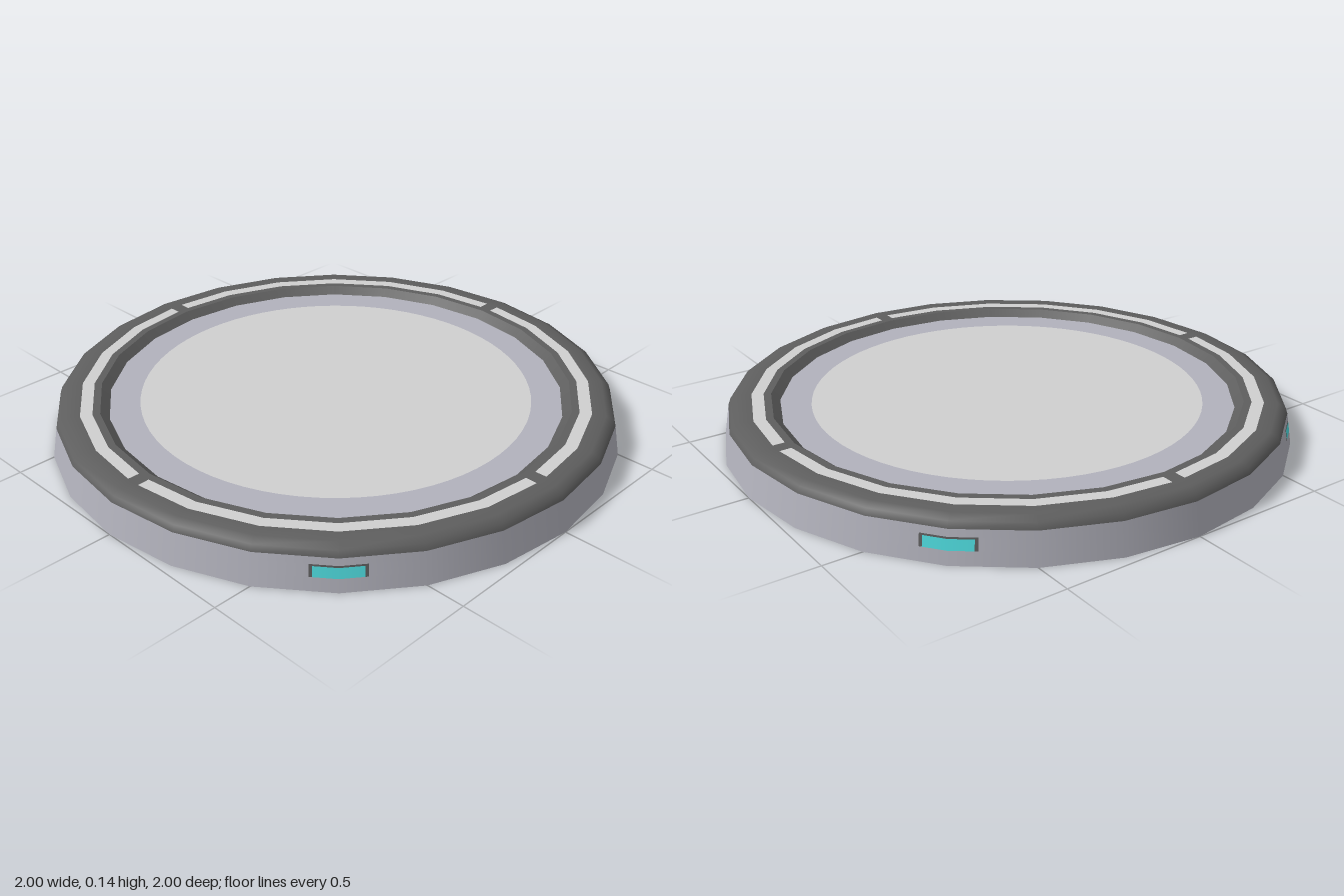
import * as THREE from 'three';

const mat = (name, color) => {
  const m = new THREE.MeshStandardMaterial({ color, side: THREE.DoubleSide });
  m.name = name;
  return m;
};

const STEP = 15; // degrees per side: 24 sides, corners on the axes
const rad = THREE.MathUtils.degToRad;

// Factor that keeps a point at angle a on the flat sides of the 24-gon
const onSide = (a) => {
  const off = ((a % STEP) + STEP) % STEP - STEP / 2;
  return Math.cos(rad(STEP / 2)) / Math.cos(rad(off));
};

// Sweep a [radius, height] profile from angle a0 to a1, smooth around the axis
function sweep(profile, a0 = 0, a1 = 360) {
  const angles = [a0];
  for (let a = Math.floor(a0 / STEP + 1) * STEP; a < a1; a += STEP) angles.push(a);
  angles.push(a1);

  const normals2 = profile.map((p, j) => {
    const n = new THREE.Vector2();
    for (const k of [j - 1, j]) {
      const u = profile[k], v = profile[k + 1];
      if (u && v) n.add(new THREE.Vector2(v[1] - u[1], u[0] - v[0]).normalize());
    }
    return n.normalize();
  });

  const pos = [], nor = [], index = [], n = profile.length;
  angles.forEach((a, i) => {
    const s = Math.sin(rad(a)), c = Math.cos(rad(a)), k = onSide(a);
    profile.forEach(([r, y], j) => {
      pos.push(r * k * s, y, r * k * c);
      nor.push(normals2[j].x * s, normals2[j].y, normals2[j].x * c);
      if (i && j) {
        const p = (i - 1) * n + j - 1, q = i * n + j - 1;
        index.push(p, q, q + 1, p, q + 1, p + 1);
      }
    });
  });
  const g = new THREE.BufferGeometry();
  g.setAttribute('position', new THREE.Float32BufferAttribute(pos, 3));
  g.setAttribute('normal', new THREE.Float32BufferAttribute(nor, 3));
  g.setIndex(index);
  return g;
}

export function createModel() {
  const silver = mat('silver', 0xb2b2bc);
  const dark = mat('darkGrey', 0x5e5e5e);
  const light = mat('lightGrey', 0xd0d0d0);
  const cyan = mat('cyan', 0x4fdde0);

  const model = new THREE.Group();
  model.name = 'roundPad';
  const add = (name, geometry, material) => {
    const mesh = new THREE.Mesh(geometry, material);
    mesh.name = name;
    model.add(mesh);
    return mesh;
  };

  // Sloping outer wall, left open in a band where the lamps sit
  const wall = (y) => [1 - 0.02 * y / 0.11, y];
  const band = (y0, y1) => [wall(y0), wall(y1)];
  add('lowerWall', sweep(band(0, 0.045)), silver);
  add('upperWall', sweep(band(0.086, 0.11)), silver);

  // Four lamps on the diagonals, each with a thin dark edge
  const lamp = 4.5, edge = 5.1;
  for (let a = 45; a < 360; a += 90) {
    add('middleWall', sweep(band(0.045, 0.086), a + edge, a + 90 - edge), silver);
    add('lamp', sweep(band(0.045, 0.08), a - lamp, a + lamp), cyan);
    add('lampTopEdge', sweep(band(0.08, 0.086), a - lamp, a + lamp), dark);
    add('lampSideEdge', sweep(band(0.045, 0.086), a - edge, a - lamp), dark);
    add('lampSideEdge', sweep(band(0.045, 0.086), a + lamp, a + edge), dark);
  }

  // Dark rim: rounded shoulder, flat top and inner slope
  add('rimShoulder', sweep([[0.98, 0.11], [0.972, 0.132], [0.945, 0.145], [0.898, 0.145]]), dark);
  add('rimTop', sweep([[0.856, 0.145], [0.83, 0.145]]), dark);
  add('rimInnerSlope', sweep([[0.83, 0.145], [0.8, 0.12]]), dark);

  // Light strips set in the rim, with dark gaps on the axes
  const gap = 1.6, strip = [[0.898, 0.145], [0.856, 0.145]];
  for (let a = 0; a < 360; a += 90) {
    add('lightStrip', sweep(strip, a + gap, a + 90 - gap), light);
    add('stripGap', sweep(strip, a - gap, a + gap), dark);
  }

  // Recessed floor: 24-sided border around a round plate
  const border = new THREE.Shape();
  for (let a = 0; a < 360; a += STEP) {
    const x = 0.8 * Math.cos(rad(a)), y = 0.8 * Math.sin(rad(a));
    if (a) border.lineTo(x, y); else border.moveTo(x, y);
  }
  border.closePath();
  border.holes.push(new THREE.Path().absarc(0, 0, 0.69, 0, Math.PI * 2, true));
  const flat = (g) => g.rotateX(-Math.PI / 2).translate(0, 0.12, 0);
  add('floorBorder', flat(new THREE.ShapeGeometry(border, 36)), silver);
  add('floorPlate', flat(new THREE.CircleGeometry(0.69, 72)), light);

  return model;
}
